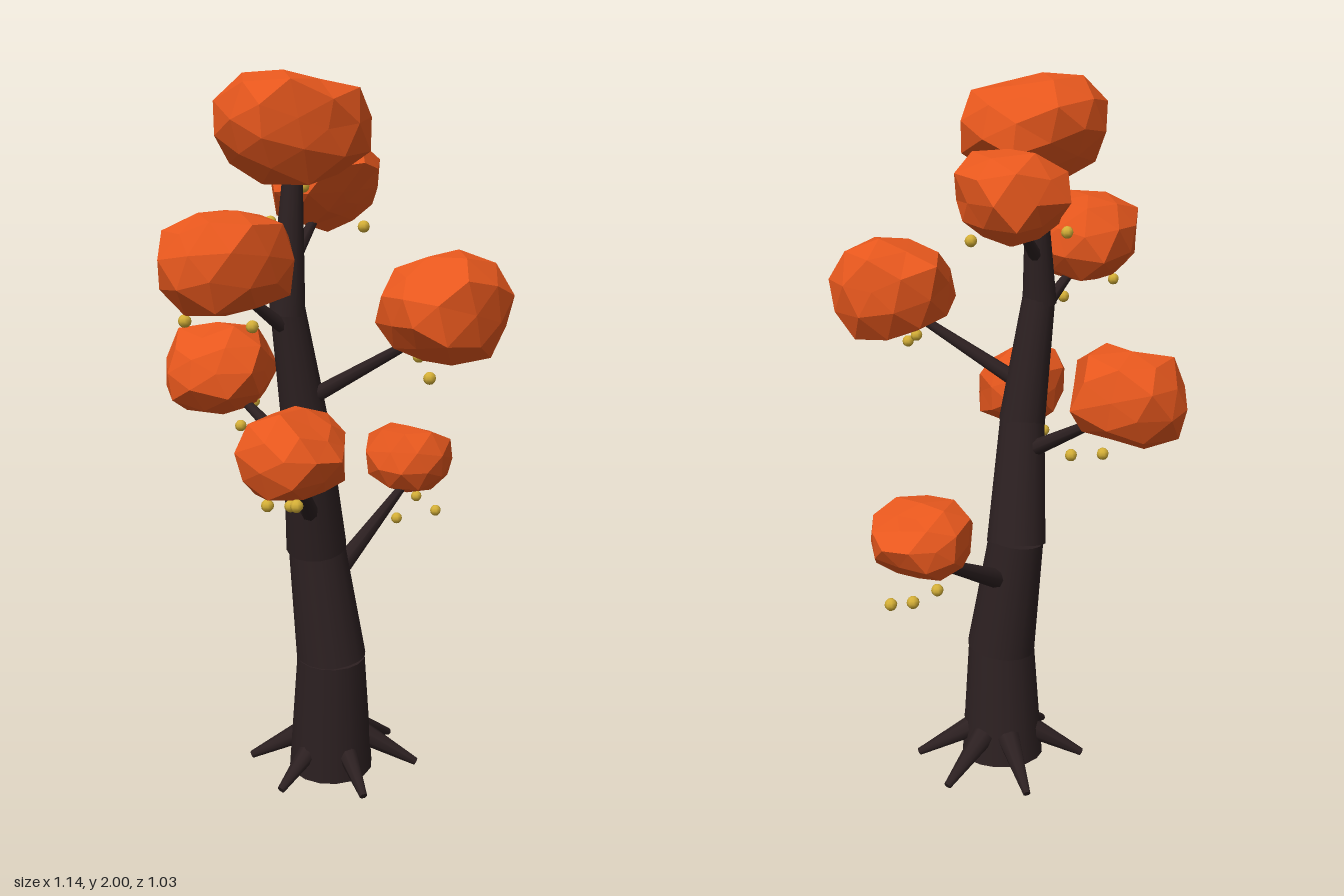
import * as THREE from 'three';

const UP = new THREE.Vector3(0, 1, 0);

// Tapered limb running from point a to point b
function limb(name, a, b, ra, rb, sides, material) {
  const start = new THREE.Vector3(...a), end = new THREE.Vector3(...b);
  const dir = end.clone().sub(start);
  const mesh = new THREE.Mesh(new THREE.CylinderGeometry(rb, ra, dir.length(), sides), material);
  mesh.position.copy(start).add(end).multiplyScalar(0.5);
  mesh.quaternion.setFromUnitVectors(UP, dir.normalize());
  mesh.name = name;
  return mesh;
}

// Repeatable value in 0..1 for a vertex, shared by all faces that meet there
function hash(p, seed) {
  const key = Math.round(p.x * 100) * 12.9898 + Math.round(p.y * 100) * 78.233 + Math.round(p.z * 100) * 37.719;
  const s = Math.sin(key + seed * 17.17) * 43758.5453;
  return s - Math.floor(s);
}

// How many times (du, dv) fits between the centre (cu, cv) and the outline
function reach(outline, cu, cv, du, dv) {
  let best = Infinity;
  outline.forEach(([au, av], i) => {
    const [bu, bv] = outline[(i + 1) % outline.length];
    const eu = bu - au, ev = bv - av, det = du * ev - dv * eu;
    if (Math.abs(det) < 1e-9) return;
    const t = ((au - cu) * ev - (av - cv) * eu) / det;
    const s = ((au - cu) * dv - (av - cv) * du) / det;
    if (t > 0 && s >= 0 && s <= 1) best = Math.min(best, t);
  });
  return best;
}

// Faceted clump: an ellipsoid trimmed by front (x, y), side (z, y) and top (x, z) outlines
function foliageGeometry(front, side, top, seed) {
  const box = new THREE.Box3();
  front.forEach(([x, y]) => box.expandByPoint(new THREE.Vector3(x, y, side[0][0])));
  side.forEach(([z]) => box.expandByPoint(new THREE.Vector3(front[0][0], front[0][1], z)));
  const c = box.getCenter(new THREE.Vector3()), size = box.getSize(new THREE.Vector3());

  const geo = new THREE.IcosahedronGeometry(1, 1);
  geo.rotateX(seed * 1.3);
  geo.rotateZ(seed * 0.7);
  const pos = geo.attributes.position, p = new THREE.Vector3();
  for (let i = 0; i < pos.count; i++) {
    p.fromBufferAttribute(pos, i);
    const rough = 0.94 + 0.06 * hash(p, seed);
    p.multiply(size).multiplyScalar(0.54);
    p.multiplyScalar(rough * Math.min(1, reach(front, c.x, c.y, p.x, p.y),
      reach(side, c.z, c.y, p.z, p.y), reach(top, c.x, c.z, p.x, p.z)));
    pos.setXYZ(i, p.x, p.y, p.z);
  }
  // Let the facets reach the full width, height and depth
  geo.computeBoundingBox();
  const got = geo.boundingBox.getSize(new THREE.Vector3());
  const mid = geo.boundingBox.getCenter(new THREE.Vector3());
  geo.translate(-mid.x, -mid.y, -mid.z);
  geo.scale(size.x / got.x, size.y / got.y, size.z / got.z);
  geo.translate(c.x, c.y, c.z);
  geo.computeVertexNormals();
  return geo;
}

export function createModel() {
  const tree = new THREE.Group();
  tree.name = 'tree';
  const bark = new THREE.MeshStandardMaterial({ color: 0x2c2021 });
  bark.name = 'dark bark';
  const leaf = new THREE.MeshStandardMaterial({ color: 0xe6571d, flatShading: true });
  leaf.name = 'orange leaves';
  const gold = new THREE.MeshStandardMaterial({ color: 0xd4af37 });
  gold.name = 'gold berries';

  // Trunk: stacked tapering sections: bottom, top, radii
  const sections = [
    [[-0.014, 0.012, 0.01], [-0.034, 0.365, 0.026], 0.122, 0.098],
    [[-0.028, 0.355, 0.023], [-0.045, 0.7, -0.018], 0.1, 0.08],
    [[-0.045, 0.69, -0.018], [-0.125, 1.05, 0.012], 0.086, 0.064],
    [[-0.122, 1.03, 0.012], [-0.178, 1.4, -0.01], 0.067, 0.046],
    [[-0.178, 1.37, -0.01], [-0.145, 1.78, -0.012], 0.049, 0.024],
  ];
  sections.forEach(([a, b, ra, rb]) => tree.add(limb('trunkSection', a, b, ra, rb, 16, bark)));

  // Roots: spikes splayed around the foot
  [6, 57, 122, 180, 238, -51].forEach((deg) => {
    const c = Math.cos(deg * Math.PI / 180), s = Math.sin(deg * Math.PI / 180);
    tree.add(limb('root', [0.005 + c * 0.08, 0.105, 0.005 + s * 0.08],
      [0.005 + c * 0.245, 0.014, 0.005 + s * 0.245], 0.034, 0.011, 8, bark));
  });

  // Branches: start, end inside the clump
  const branches = [
    [[0.0, 0.58, 0.0], [0.4, 0.79, -0.01]],
    [[-0.09, 0.79, 0.0], [-0.34, 0.98, 0.16]],
    [[-0.1, 0.94, 0.0], [-0.07, 1.11, -0.3]],
    [[-0.14, 1.13, 0.01], [-0.02, 1.34, 0.34]],
    [[-0.17, 1.32, 0.0], [-0.36, 1.46, -0.03]],
    [[-0.17, 1.49, -0.01], [0.02, 1.63, -0.06]],
  ];
  branches.forEach(([a, b], i) => tree.add(limb('branch', a, b, 0.03 - i * 0.002, 0.011, 8, bark)));

  // Leaf clumps, lowest to highest: front, side and top outlines
  const addClump = (seed, front, side, top) => {
    const mesh = new THREE.Mesh(foliageGeometry(front, side, top, seed), leaf);
    mesh.name = 'leafClump';
    tree.add(mesh);
  };
  addClump(1,
    [[0.295, 0.855], [0.34, 0.935], [0.375, 0.955], [0.43, 0.935], [0.572, 0.885], [0.57, 0.85], [0.42, 0.75], [0.305, 0.78]],
    [[0.107, 0.84], [0.095, 0.93], [0, 0.955], [-0.105, 0.94], [-0.15, 0.865], [-0.125, 0.795], [-0.02, 0.75], [0.075, 0.77]],
    [[0.295, -0.07], [0.32, -0.11], [0.435, -0.15], [0.55, -0.09], [0.572, 0.01], [0.485, 0.095], [0.405, 0.107], [0.3, 0.065]]);
  addClump(2,
    [[-0.53, 1.065], [-0.455, 1.178], [-0.29, 1.165], [-0.222, 1.07], [-0.23, 0.99], [-0.31, 0.95], [-0.4, 0.94], [-0.49, 0.96]],
    [[0.325, 1.075], [0.175, 1.178], [0.075, 1.13], [0.05, 1.0], [0.11, 0.94], [0.245, 0.97], [0.295, 1.03]],
    [[-0.53, 0.12], [-0.53, 0.2], [-0.505, 0.26], [-0.385, 0.325], [-0.26, 0.235], [-0.222, 0.13], [-0.25, 0.06], [-0.4, 0.05]]);
  addClump(3,
    [[0.097, 1.21], [0.095, 1.14], [0, 1.08], [-0.1, 1.04], [-0.22, 1.1], [-0.245, 1.2], [-0.1, 1.305], [0.03, 1.28]],
    [[-0.165, 1.18], [-0.23, 1.305], [-0.43, 1.3], [-0.515, 1.17], [-0.475, 1.06], [-0.35, 1.04], [-0.18, 1.11]],
    [[-0.245, -0.33], [-0.215, -0.43], [-0.075, -0.517], [0.04, -0.485], [0.06, -0.37], [0.097, -0.32], [0.095, -0.27], [-0.15, -0.165]]);
  addClump(4,
    [[-0.19, 1.41], [-0.12, 1.475], [-0.01, 1.55], [0.13, 1.53], [0.175, 1.4], [0.125, 1.28], [-0.02, 1.25], [-0.14, 1.34]],
    [[0.518, 1.395], [0.5, 1.51], [0.36, 1.55], [0.2, 1.475], [0.215, 1.33], [0.39, 1.25], [0.48, 1.29]],
    [[-0.19, 0.415], [-0.11, 0.235], [0.05, 0.2], [0.13, 0.28], [0.175, 0.42], [0.105, 0.518], [0.03, 0.5], [-0.11, 0.495]]);
  addClump(5,
    [[-0.573, 1.535], [-0.485, 1.66], [-0.305, 1.64], [-0.222, 1.535], [-0.285, 1.44], [-0.45, 1.4], [-0.54, 1.41]],
    [[0.125, 1.53], [0.1, 1.63], [-0.02, 1.66], [-0.17, 1.61], [-0.19, 1.51], [-0.05, 1.4], [0.1, 1.45]],
    [[-0.573, -0.09], [-0.405, -0.19], [-0.29, -0.18], [-0.225, -0.08], [-0.24, 0.09], [-0.52, 0.125], [-0.565, -0.03]]);
  addClump(6,
    [[-0.12, 1.68], [-0.07, 1.77], [0.06, 1.82], [0.2, 1.775], [0.228, 1.695], [0.125, 1.57], [-0.04, 1.61]],
    [[0.11, 1.79], [-0.02, 1.82], [-0.17, 1.82], [-0.235, 1.7], [-0.15, 1.61], [-0.06, 1.57], [-0.01, 1.63], [0.08, 1.74]],
    [[0.228, -0.13], [0.17, 0.03], [0.03, 0.11], [-0.1, 0.03], [-0.12, -0.12], [0.05, -0.235], [0.17, -0.19]]);
  addClump(7,
    [[-0.35, 1.86], [-0.3, 1.955], [-0.16, 2], [0.04, 1.905], [0.05, 1.81], [-0.04, 1.77], [-0.13, 1.715], [-0.25, 1.715]],
    [[0.16, 1.83], [0.14, 1.935], [-0.01, 2], [-0.17, 1.97], [-0.19, 1.84], [-0.1, 1.73], [0.1, 1.715]],
    [[-0.35, 0], [-0.28, -0.19], [-0.07, -0.175], [0.05, -0.03], [-0.02, 0.16], [-0.18, 0.12], [-0.345, 0.03]]);

  // Berries hanging below the clumps
  const berries = [
    [0.34, 0.68, -0.01], [0.48, 0.68, 0.04], [0.49, 0.71, -0.04],
    [-0.46, 0.957, 0.25], [-0.395, 0.915, 0.1], [-0.29, 0.887, 0.09],
    [-0.04, 1.08, -0.25], [0.015, 1.01, -0.23], [-0.055, 1.005, -0.29],
    [-0.07, 1.23, 0.375], [0.1, 1.3, 0.42], [-0.01, 1.27, 0.3],
    [-0.505, 1.39, -0.07], [-0.33, 1.36, 0.0],
    [-0.06, 1.6, -0.165], [0.115, 1.585, 0.025],
    [-0.12, 1.705, 0.0], [-0.12, 1.67, -0.05],
  ];
  const berryGeo = new THREE.SphereGeometry(0.017, 8, 6);
  berries.forEach((at) => {
    const mesh = new THREE.Mesh(berryGeo, gold);
    mesh.position.set(...at);
    mesh.name = 'berry';
    tree.add(mesh);
  });
  return tree;
}
